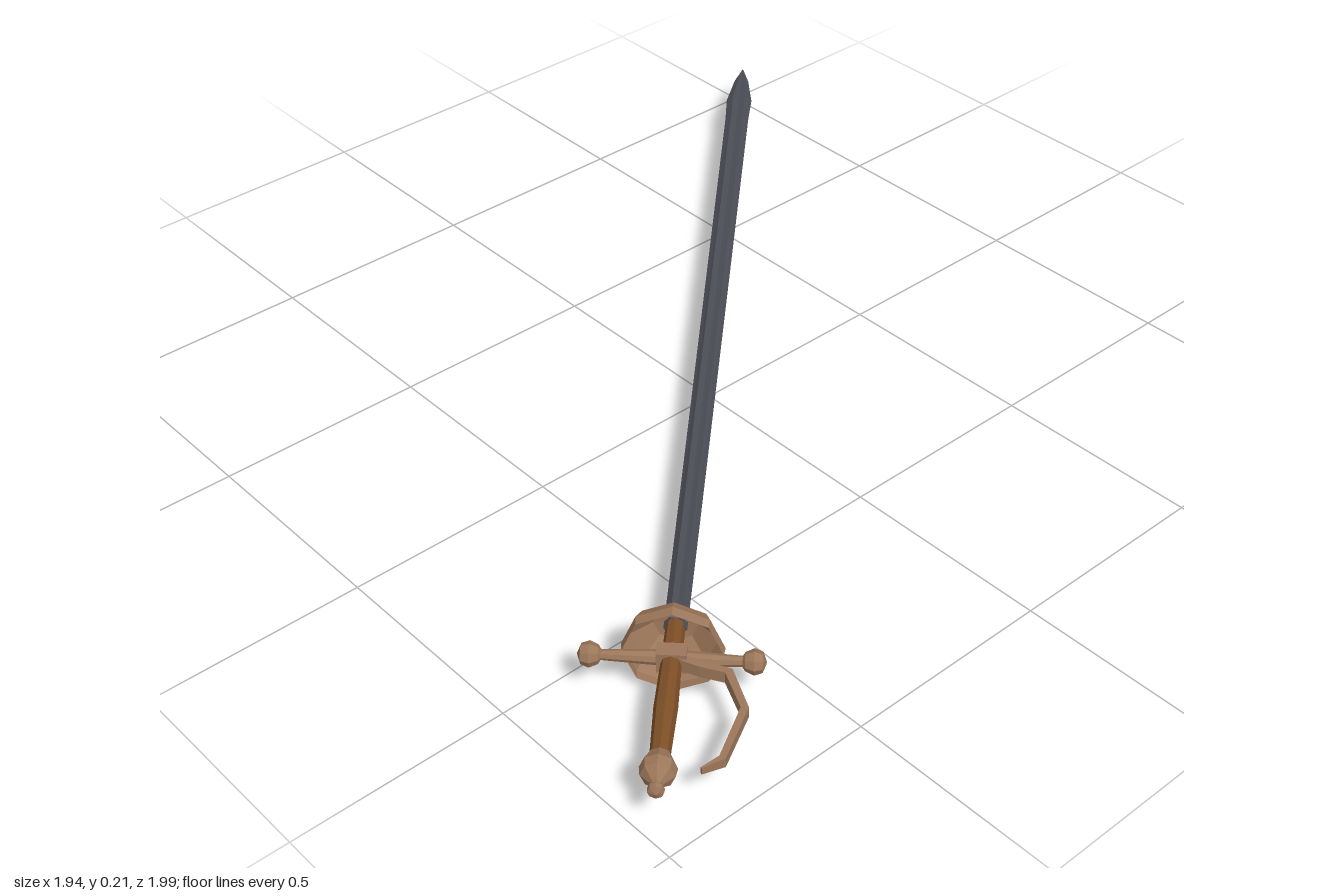
import * as THREE from 'three';

const mat = (color) => new THREE.MeshStandardMaterial({ color, flatShading: true, side: THREE.DoubleSide });

// Skin closed rings of points, ordered counter-clockwise about the direction of travel
function loft(rings) {
  const n = rings[0].length, index = [];
  for (let i = 0; i < rings.length - 1; i++) {
    for (let j = 0; j < n; j++) {
      const a = i * n + j, b = i * n + (j + 1) % n;
      index.push(a, b, b + n, a, b + n, a + n);
    }
  }
  const last = (rings.length - 1) * n;
  for (let j = 1; j < n - 1; j++) {
    index.push(0, j + 1, j, last, last + j, last + j + 1);
  }
  const geo = new THREE.BufferGeometry();
  geo.setAttribute('position', new THREE.Float32BufferAttribute(rings.flat(2), 3));
  geo.setIndex(index);
  geo.computeVertexNormals();
  return geo;
}

// Turned part along +z from [z, radius] pairs
function turned(profile, sides) {
  const pts = profile.map(([z, r]) => new THREE.Vector2(r, z));
  return new THREE.LatheGeometry(pts, sides).rotateX(Math.PI / 2);
}

export function createModel() {
  const model = new THREE.Group();
  const sword = new THREE.Group();
  sword.name = 'sword';
  // Local +z runs from tip to pommel, local +x is the knuckle guard side
  sword.position.set(-0.015, 0.107, -0.01);
  sword.rotation.y = 0.767;
  model.add(sword);

  const steel = mat(0x4b4d55), brass = mat(0x9c775a), leather = mat(0x7f5028);
  const add = (name, geo, material, parent = sword) => {
    const mesh = new THREE.Mesh(geo, material);
    mesh.name = name;
    parent.add(mesh);
    return mesh;
  };

  // Blade with a shallow groove on each face: [z, half width, half thickness]
  const bladeSections = [
    [-1.376, 0.001, 0.001], [-1.31, 0.019, 0.006], [-1.2, 0.034, 0.012],
    [-1.1, 0.031, 0.012], [0.93, 0.024, 0.013],
  ];
  add('blade', loft(bladeSections.map(([z, w, t]) => [
    [w, 0, z], [w * 0.5, t, z], [0, t * 0.7, z], [-w * 0.5, t, z],
    [-w, 0, z], [-w * 0.5, -t, z], [0, -t * 0.7, z], [w * 0.5, -t, z],
  ])), steel);

  // Faceted cup, open toward the hand
  add('cupGuard', turned([[0.906, 0], [0.912, 0.046], [0.95, 0.09], [0.978, 0.104], [1.0, 0.102]], 8), brass);

  // Cross bar with a knob at each end
  const crossguard = new THREE.Group();
  crossguard.name = 'crossguard';
  crossguard.position.z = 1.013;
  sword.add(crossguard);
  add('guardBlock', new THREE.BoxGeometry(0.06, 0.048, 0.036), brass, crossguard);
  for (const side of [1, -1]) {
    const arm = turned([[0, 0.017], [0.14, 0.011], [0.145, 0.019], [0.163, 0.027], [0.18, 0.021], [0.188, 0]], 8);
    add(side > 0 ? 'leftArm' : 'rightArm', arm, brass, crossguard).rotation.y = side * Math.PI / 2;
  }

  // Grip
  add('grip', turned([[0.92, 0.02], [1.02, 0.021], [1.15, 0.024], [1.285, 0.02]], 8), leather);

  // Pommel and end button
  add('pommel', turned([
    [1.278, 0], [1.278, 0.023], [1.308, 0.037], [1.328, 0.034], [1.348, 0.013],
    [1.354, 0.012], [1.36, 0.017], [1.37, 0.016], [1.376, 0],
  ], 8), brass);

  // Knuckle guard, a bent strip tapering to its free end: [x, z, half thickness, half width]
  const bow = [
    [0.01, 1.02, 0.009, 0.014], [0.06, 1.04, 0.009, 0.014], [0.115, 1.055, 0.009, 0.014],
    [0.152, 1.152, 0.008, 0.013], [0.118, 1.283, 0.007, 0.012], [0.08, 1.31, 0.002, 0.008],
  ];
  add('knuckleGuard', loft(bow.map(([x, z, t, h], i) => {
    const a = bow[Math.max(i - 1, 0)], b = bow[Math.min(i + 1, bow.length - 1)];
    const len = Math.hypot(b[0] - a[0], b[1] - a[1]);
    const nx = (b[1] - a[1]) / len * t, nz = -(b[0] - a[0]) / len * t;
    return [[x + nx, -h, z + nz], [x + nx, h, z + nz], [x - nx, h, z - nz], [x - nx, -h, z - nz]];
  })), brass);

  return model;
}
